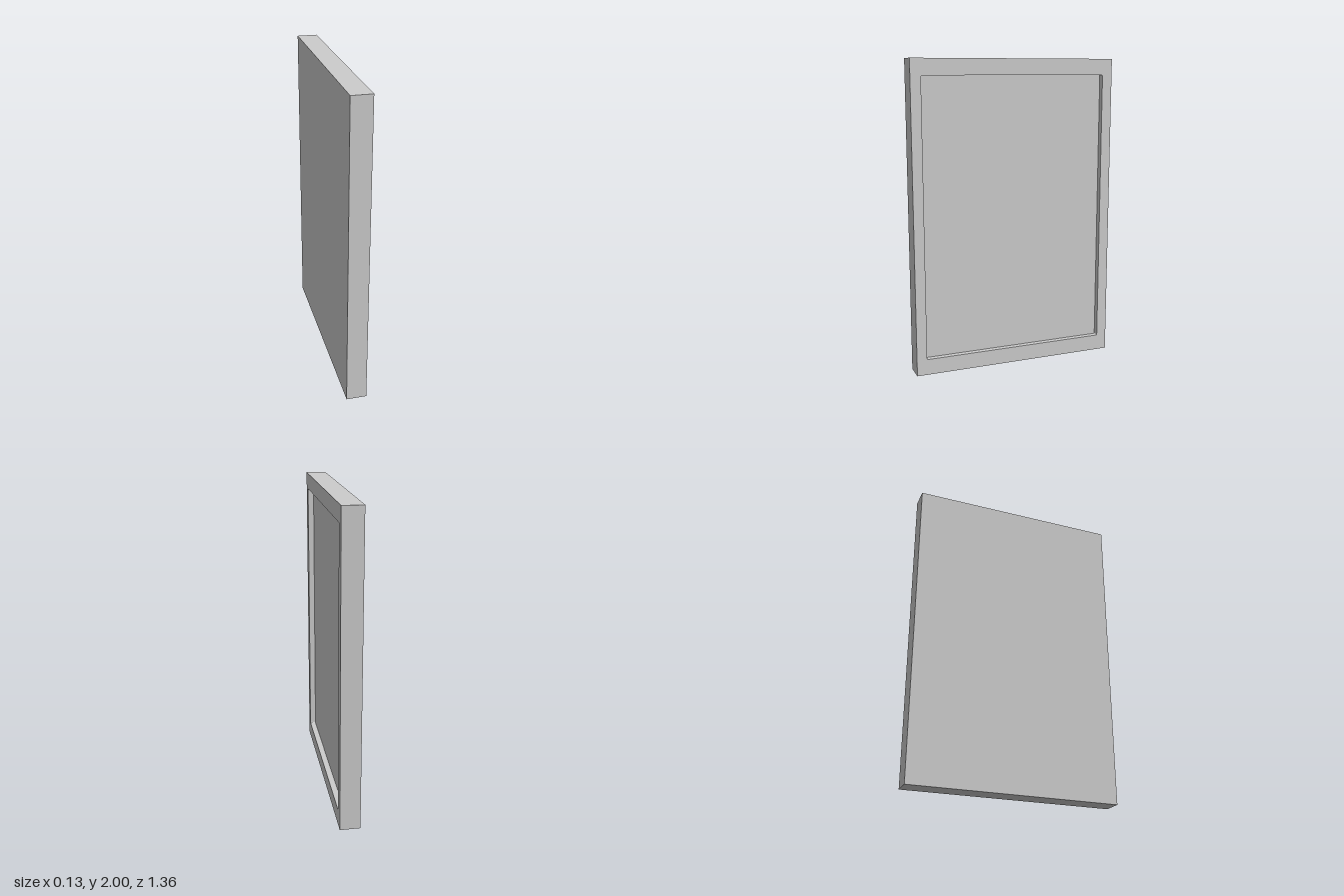
import * as THREE from 'three';

const HEIGHT = 2, WIDTH = 1.36, THICK = 0.13;
const RECESS = 0.038; // depth of the sunken field on the +x face

// Rectangle outline centred on u = 0, with optional rounded corners
function rectPath(path, w, y0, y1, r) {
  const h = w / 2;
  path.moveTo(-h + r, y0);
  path.lineTo(h - r, y0);
  if (r) path.quadraticCurveTo(h, y0, h, y0 + r);
  path.lineTo(h, y1 - r);
  if (r) path.quadraticCurveTo(h, y1, h - r, y1);
  path.lineTo(-h + r, y1);
  if (r) path.quadraticCurveTo(-h, y1, -h, y1 - r);
  path.lineTo(-h, y0 + r);
  if (r) path.quadraticCurveTo(-h, y0, -h + r, y0);
  return path;
}

export function createModel() {
  const group = new THREE.Group();
  group.name = 'framedPanel';
  const material = new THREE.MeshStandardMaterial({ color: 0xcccccc });

  // Solid slab forming the plain back and the floor of the recess
  const slabThick = THICK - RECESS;
  const slab = new THREE.Mesh(new THREE.BoxGeometry(slabThick, HEIGHT, WIDTH), material);
  slab.name = 'backPanel';
  slab.position.set(-THICK / 2 + slabThick / 2, HEIGHT / 2, 0);
  group.add(slab);

  // Raised border with a slightly rounded opening
  const outline = rectPath(new THREE.Shape(), WIDTH, 0, HEIGHT, 0);
  outline.holes.push(rectPath(new THREE.Path(), 1.226, 0.103, 1.897, 0.01));
  const border = new THREE.ExtrudeGeometry(outline, {
    depth: RECESS, bevelEnabled: false, curveSegments: 4,
  });
  border.rotateY(Math.PI / 2);
  const frame = new THREE.Mesh(border, material);
  frame.name = 'frame';
  frame.position.x = THICK / 2 - RECESS;
  group.add(frame);

  return group;
}
